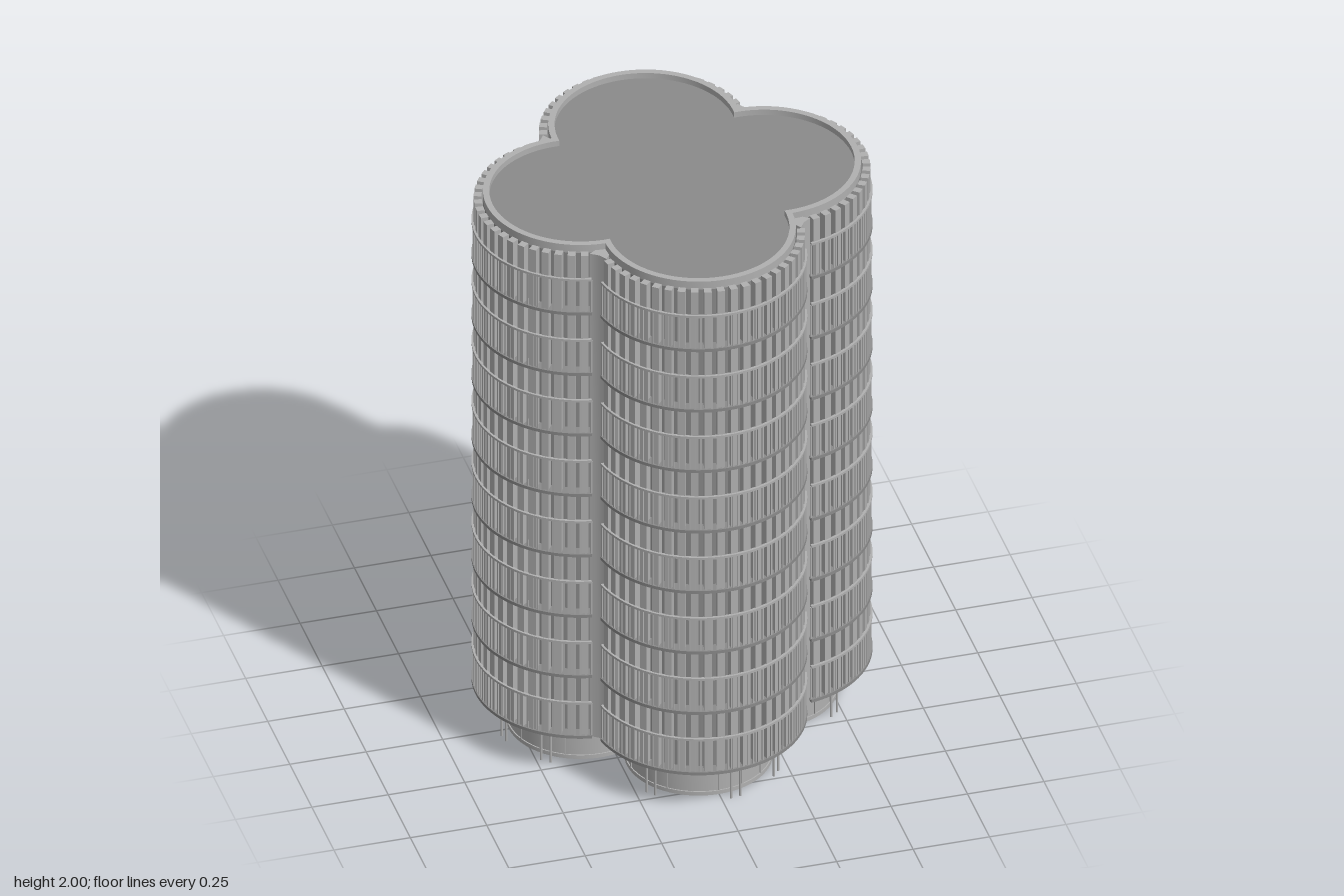
import * as THREE from 'three';
import { mergeGeometries, toCreasedNormals } from 'three/addons/utils/BufferGeometryUtils.js';

const OFFSET = 0.3;             // distance of each lobe centre from the axis
const ARC = THREE.MathUtils.degToRad(80); // half sweep of the balconies
const FLOORS = 8, FLOOR_H = 0.2295, FIRST = 0.15;

// Four-lobed outline made of overlapping circles of radius r
function quatrefoil(r, Type = THREE.Shape) {
  const p = (0.6 + Math.sqrt(0.36 - 8 * (OFFSET * OFFSET - r * r))) / 4;
  const half = Math.atan2(p, p - OFFSET), n = 40, pts = [];
  for (let k = 0; k < 4; k++) {
    const turn = k * Math.PI / 2;
    for (let i = 0; i < n; i++) {
      const a = -half + 2 * half * i / n;
      const v = new THREE.Vector2(OFFSET + r * Math.cos(a), r * Math.sin(a));
      pts.push(v.rotateAround(new THREE.Vector2(), turn));
    }
  }
  return new Type(pts);
}

// Sector of a ring around the lobe centre
function arcBand(inner, outer) {
  const s = new THREE.Shape();
  s.absarc(OFFSET, 0, outer, -ARC, ARC, false);
  s.absarc(OFFSET, 0, inner, ARC, -ARC, true);
  return s;
}

// Extrude a plan shape upward from y0 to y1
function rise(shape, y0, y1) {
  const g = new THREE.ExtrudeGeometry(shape, { depth: y1 - y0, bevelEnabled: false, curveSegments: 28 });
  g.rotateX(-Math.PI / 2).translate(0, y0, 0);
  return toCreasedNormals(g, 0.5);
}

function ringPlan(outer, inner) {
  const s = quatrefoil(outer);
  s.holes.push(quatrefoil(inner, THREE.Path));
  return s;
}

// Upright box at an angle on the lobe
function upright(a, r, depth, width, y0, y1) {
  return new THREE.BoxGeometry(depth, y1 - y0, width)
    .translate(r, (y0 + y1) / 2, 0).rotateY(a).translate(OFFSET, 0, 0);
}

export function createModel() {
  const group = new THREE.Group();
  const light = new THREE.MeshStandardMaterial({ color: 0xb0b0b0 });
  const dark = new THREE.MeshStandardMaterial({ color: 0x8a8a8a });
  const add = (name, geo, mat, parent = group) => {
    const m = new THREE.Mesh(geo, mat);
    m.name = name;
    parent.add(m);
  };

  // Tower body, roof and parapet
  add('towerWalls', rise(quatrefoil(0.305), 0.145, 1.98), dark);
  add('roofParapet', rise(ringPlan(0.306, 0.286), 1.97, 2), light);
  add('soffit', rise(quatrefoil(0.275), 0.132, 0.147), light);

  // Hollow ground floor
  add('groundFloorWall', rise(ringPlan(0.23, 0.22), 0, 0.134), light);
  add('groundFloorPlinth', rise(ringPlan(0.234, 0.229), 0, 0.014), light);

  // Geometry of one lobe's facade
  const slabs = [], rails = [], pickets = [], fins = [];
  for (let f = 0; f < FLOORS; f++) {
    const y = FIRST + f * FLOOR_H;
    slabs.push(rise(arcBand(0.295, 0.342), y, y + 0.011));
    rails.push(rise(arcBand(0.333, 0.342), y + 0.129, y + 0.137));
    const n = 54;
    for (let i = 0; i <= n; i++) {
      pickets.push(upright(-ARC + 2 * ARC * i / n, 0.337, 0.004, 0.006, y + 0.01, y + 0.13));
    }
    const m = 22;
    for (let i = 0; i < m; i++) {
      const a = -ARC + 2 * ARC * (i + 0.5) / m;
      const top = f === FLOORS - 1 ? 1.978 : y + FLOOR_H;
      fins.push(upright(a, 0.3225, 0.025, 0.024, y + 0.01, top));
    }
  }
  const slabGeo = mergeGeometries(slabs), railGeo = mergeGeometries(rails);
  const picketGeo = mergeGeometries(pickets), finGeo = mergeGeometries(fins);

  // Slim paired posts and window mullions at ground level
  const posts = [], mullions = [];
  for (const deg of [-50, 10, 50]) {
    for (const d of [-3.5, 3.5]) {
      const a = THREE.MathUtils.degToRad(deg + d);
      posts.push(new THREE.CylinderGeometry(0.004, 0.004, 0.15, 8)
        .translate(OFFSET + 0.267 * Math.cos(a), 0.075, -0.267 * Math.sin(a)));
    }
  }
  for (let i = -4; i <= 4; i++) {
    mullions.push(upright(i * 0.36, 0.23, 0.006, 0.005, 0, 0.134));
  }
  const postGeo = mergeGeometries(posts), mullionGeo = mergeGeometries(mullions);

  // Wedge-shaped pier filling each notch between balconies
  const pier = new THREE.Shape([[0.28, 0.305], [0.305, 0.28], [0.36, 0.318], [0.335, 0.335], [0.318, 0.36]]
    .map(([x, y]) => new THREE.Vector2(x, y)));
  const pierGeo = rise(pier, 0.147, 1.978);

  for (let k = 0; k < 4; k++) {
    const lobe = new THREE.Group();
    lobe.name = 'lobe' + (k + 1);
    lobe.rotation.y = k * Math.PI / 2;
    add('balconySlabs', slabGeo, dark, lobe);
    add('handrails', railGeo, light, lobe);
    add('railingPickets', picketGeo, light, lobe);
    add('facadeFins', finGeo, light, lobe);
    add('groundPosts', postGeo, light, lobe);
    add('groundMullions', mullionGeo, light, lobe);
    add('notchPier', pierGeo, light, lobe);
    group.add(lobe);
  }
  return group;
}
